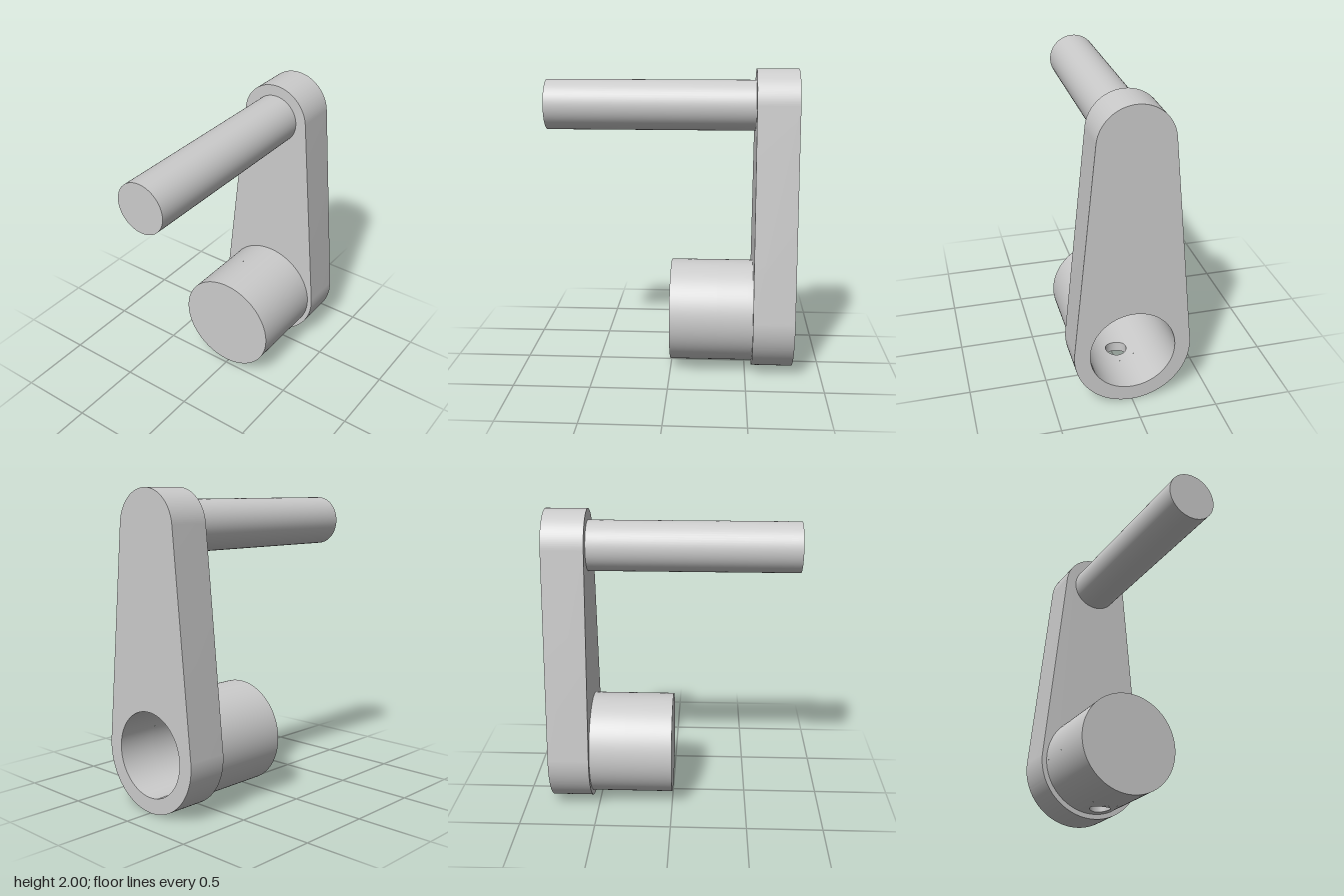
import * as THREE from 'three';
import { toCreasedNormals, mergeGeometries } from 'three/addons/utils/BufferGeometryUtils.js';
import { ParametricGeometry } from 'three/addons/geometries/ParametricGeometry.js';

const HUB_Y = 0.373, PIN_Y = 1.765;
const PLATE_BACK = -0.815, PLATE_FRONT = -0.545, HUB_FRONT = 0, BORE_END = -0.07;
const R_LOW = 0.373, R_TOP = 0.235, R_HUB = 0.34, R_BORE = 0.273, R_PIN = 0.163;
const HOLE_R = 0.07, HOLE_Z = -0.41, PATCH = 0.1; // set-screw hole and the square around it

// Part of a cylinder wall around z; swapping z0 and z1 turns it inwards
const wall = (r, z0, z1, a0 = 0, a1 = Math.PI * 2) =>
  new ParametricGeometry((u, v, p) => {
    const a = a0 + (a1 - a0) * u;
    p.set(r * Math.cos(a), r * Math.sin(a), z0 + (z1 - z0) * v);
  }, 96, 1);

// Point on the underside of a cylinder of radius r
const under = (p, r, x, z) => p.set(x, -Math.sqrt(r * r - x * x), z);

// Square patch of the underside with the round hole in it
const holedPatch = (r, dir) =>
  new ParametricGeometry((u, v, p) => {
    const a = dir * u * Math.PI * 2, c = Math.cos(a), s = Math.sin(a);
    const edge = PATCH / Math.max(Math.abs(c), Math.abs(s));
    const d = HOLE_R + (edge - HOLE_R) * v;
    under(p, r, d * c, HOLE_Z + d * s);
  }, 48, 4);

// Whole cylinder wall pierced by the hole below
function piercedWall(r, z0, z1, outward) {
  const zone = (a, b, ...arc) => (outward ? wall(r, a, b, ...arc) : wall(r, b, a, ...arc));
  const half = Math.asin(PATCH / r), lo = HOLE_Z - PATCH, hi = HOLE_Z + PATCH;
  return [
    zone(z0, lo),
    zone(hi, z1),
    zone(lo, hi, -Math.PI / 2 + half, Math.PI * 1.5 - half),
    holedPatch(r, outward ? -1 : 1),
  ];
}

export function createModel() {
  const model = new THREE.Group();
  const material = new THREE.MeshStandardMaterial({ color: 0xcccccc });
  const add = (name, geometry, y = 0, z = 0) => {
    const mesh = new THREE.Mesh(geometry, material);
    mesh.name = name;
    mesh.position.set(0, y, z);
    model.add(mesh);
    return mesh;
  };

  // Tapered arm: two arcs joined by their tangents, with the bore cut through
  const tilt = Math.asin((R_LOW - R_TOP) / (PIN_Y - HUB_Y));
  const outline = new THREE.Shape();
  outline.absarc(0, PIN_Y, R_TOP, tilt, Math.PI - tilt, false);
  outline.absarc(0, HUB_Y, R_LOW, Math.PI - tilt, Math.PI * 2 + tilt, false);
  outline.closePath();
  outline.holes.push(new THREE.Path().absarc(0, HUB_Y, R_BORE, 0, Math.PI * 2, true));
  const arm = new THREE.ExtrudeGeometry(outline, {
    depth: PLATE_FRONT - PLATE_BACK, bevelEnabled: false, curveSegments: 64,
  });
  add('crankArm', toCreasedNormals(arm, 0.5), 0, PLATE_BACK);

  // Hub: outer wall, blind bore and the screw hole between them
  const screwHole = new ParametricGeometry((u, v, p) => {
    const a = u * Math.PI * 2;
    under(p, R_HUB + (R_BORE - R_HUB) * v, HOLE_R * Math.cos(a), HOLE_Z + HOLE_R * Math.sin(a));
  }, 48, 1);
  add('hub', mergeGeometries([
    ...piercedWall(R_HUB, PLATE_FRONT, HUB_FRONT, true),
    ...piercedWall(R_BORE, PLATE_FRONT, BORE_END, false),
    screwHole,
  ]), HUB_Y);
  add('hubCap', new THREE.CircleGeometry(R_HUB, 96), HUB_Y, HUB_FRONT);
  add('boreFloor', new THREE.CircleGeometry(R_BORE, 96), HUB_Y, BORE_END).rotation.y = Math.PI;

  // Handle pin at the narrow end
  const length = -PLATE_BACK - PLATE_FRONT;
  const pin = new THREE.CylinderGeometry(R_PIN, R_PIN, length, 64).rotateX(Math.PI / 2);
  add('handlePin', pin, PIN_Y, PLATE_FRONT + length / 2);

  return model;
}
